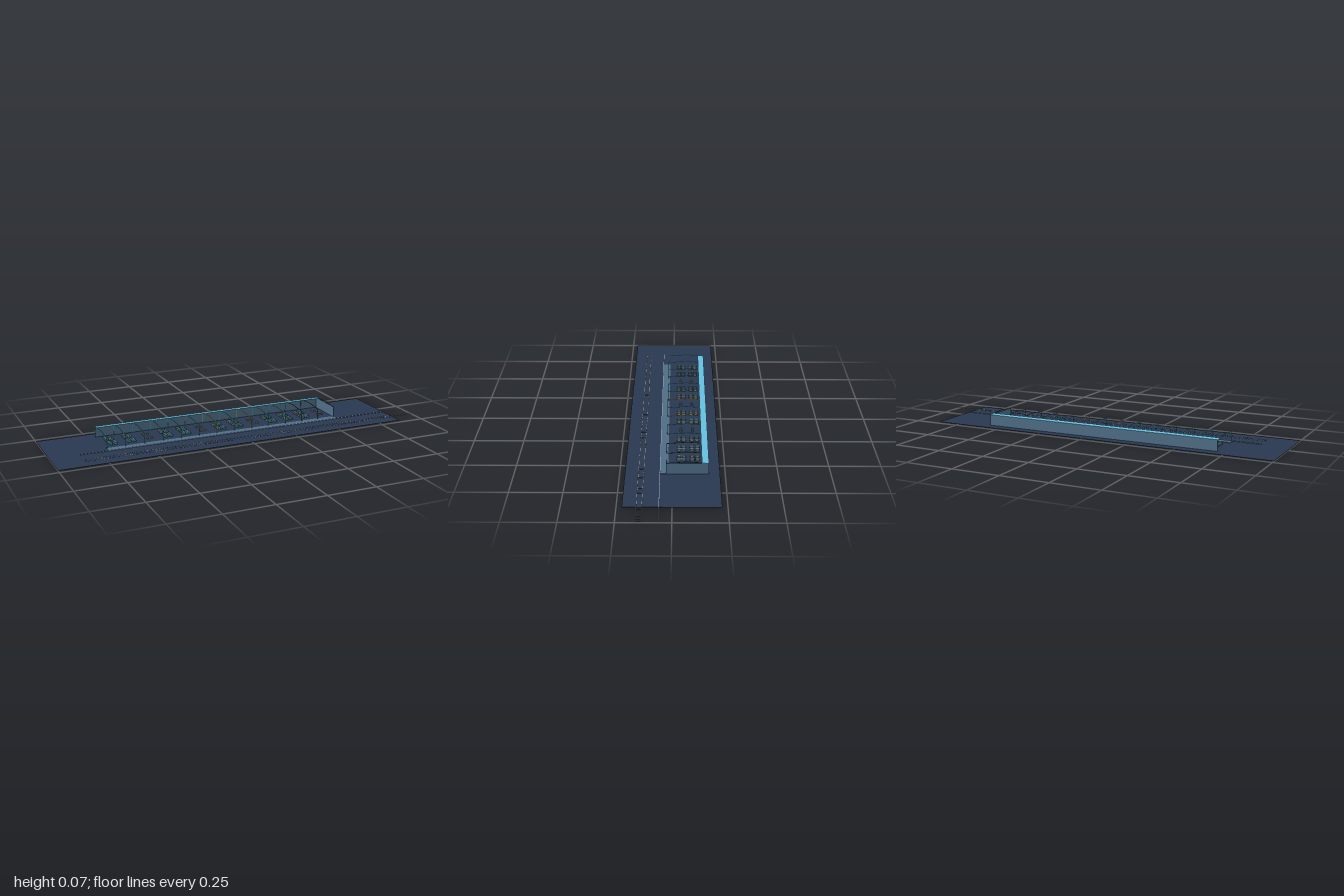
import * as THREE from 'three';

const mat = (name, color, side = THREE.FrontSide) => {
  const m = new THREE.MeshStandardMaterial({ color, side });
  m.name = name;
  return m;
};

export function createModel() {
  const model = new THREE.Group();
  model.name = 'factoryHall';
  const ground = mat('groundNavy', 0x283850);
  const wall = mat('wallSlate', 0x4e6d86);
  const roof = mat('roofBlue', 0x66c2e2, THREE.DoubleSide);
  const dark = mat('darkSteel', 0x24323f);
  const teal = mat('teal', 0x25a5ad);
  const amber = mat('amber', 0xd0912f);
  const steel = mat('railGrey', 0x9aa3b0);

  // Box given by its minimum and maximum corners
  const box = (name, m, x0, x1, y0, y1, z0, z1, parent = model) => {
    const mesh = new THREE.Mesh(new THREE.BoxGeometry(x1 - x0, y1 - y0, z1 - z0), m);
    mesh.position.set((x0 + x1) / 2, (y0 + y1) / 2, (z0 + z1) / 2);
    mesh.name = name;
    parent.add(mesh);
  };
  // Flat bar between two points in a plane of constant x
  const bar = (name, m, x, y0, z0, y1, z1, parent) => {
    const mesh = new THREE.Mesh(new THREE.BoxGeometry(0.004, 0.0015, Math.hypot(y1 - y0, z1 - z0)), m);
    mesh.position.set(x, (y0 + y1) / 2, (z0 + z1) / 2);
    mesh.rotation.x = -Math.atan2(y1 - y0, z1 - z0);
    mesh.name = name;
    parent.add(mesh);
  };

  const X0 = -0.705, X1 = 0.58, BACK = -0.172, FRONT = 0.03, EAVE = 0.058, RIDGE = 0.066, MID = -0.071;
  const BAYS = 13, bay = (X1 - X0) / BAYS;
  const slope = (RIDGE - EAVE) / (MID - BACK);

  // Site slab, back wall in sections, right end wall and loading platform
  box('groundSlab', ground, -1, 0.875, 0, 0.0012, -0.225, 0.225);
  for (const [a, b] of [[0, 5], [5, 6], [6, 12], [12, 13]])
    box('backWall', wall, X0 + a * bay, X0 + b * bay, 0.001, EAVE, BACK, BACK + 0.003);
  box('endWall', wall, X1 - 0.003, X1, 0.001, EAVE, BACK, FRONT);
  box('loadingPlatform', wall, X0, X1, 0.001, 0.0032, 0.02, 0.058);

  // Sloping roof strip over the back wall
  const strip = new THREE.Mesh(new THREE.BoxGeometry(X1 - X0, 0.0015, 0.033), roof);
  strip.position.set((X0 + X1) / 2, EAVE + 0.0165 * slope, BACK + 0.0165);
  strip.rotation.x = -Math.atan(slope);
  strip.name = 'roofStrip';
  model.add(strip);

  // Portal frames between the bays, coloured by work area
  const frameColours = { 6: amber, 8: amber, 11: dark, 12: dark, 13: dark };
  for (let i = 0; i <= BAYS; i++) {
    const frame = new THREE.Group();
    frame.name = 'portalFrame';
    model.add(frame);
    const x = THREE.MathUtils.clamp(X0 + i * bay, X0 + 0.002, X1 - 0.002);
    const m = frameColours[i] || teal;
    box('frontPost', m, x - 0.001, x + 0.001, 0.001, EAVE, FRONT - 0.002, FRONT, frame);
    box('backPost', m, x - 0.001, x + 0.001, 0.001, EAVE, BACK + 0.003, BACK + 0.005, frame);
    // The roof strip covers the back end of the rafter
    bar('backRafter', m, x, EAVE + 0.033 * slope, BACK + 0.033, RIDGE, MID, frame);
    bar('frontRafter', m, x, RIDGE, MID, EAVE, FRONT - 0.001, frame);
  }

  // Machines or small work stations in each bay
  const stationBays = [2, 5, 8, 12];
  for (let i = 0; i < BAYS; i++) {
    const group = new THREE.Group();
    const cx = X0 + (i + 0.5) * bay;
    model.add(group);
    if (stationBays.includes(i)) {
      group.name = 'workStation';
      for (const dx of [-0.012, 0.012]) for (const z of [-0.1, -0.04]) {
        box('stand', wall, cx + dx - 0.005, cx + dx + 0.005, 0.001, 0.009, z - 0.005, z + 0.005, group);
        for (const s of [-1, 1])
          box('signPanel', amber, cx + dx - 0.004, cx + dx + 0.004, 0.003, 0.009,
            z + s * 0.0055 - 0.0005, z + s * 0.0055 + 0.0005, group);
      }
    } else {
      group.name = 'machineGroup';
      for (const dx of [-0.013, 0.013]) for (const z of [-0.121, -0.095, -0.055, -0.031]) {
        const x = cx + dx;
        box('machine', wall, x - 0.009, x + 0.009, 0.001, 0.011, z - 0.01, z + 0.01, group);
        // Coloured panels on the upright faces
        for (const s of [-1, 1]) {
          box('controlPanel', teal, x - 0.008, x + 0.008, 0.004, 0.0105,
            z + s * 0.0105 - 0.0005, z + s * 0.0105 + 0.0005, group);
          box('sidePanel', amber, x + s * 0.0095 - 0.0005, x + s * 0.0095 + 0.0005, 0.006, 0.0105,
            z - 0.005, z + 0.005, group);
        }
      }
    }
  }

  // Crane rail beside the platform
  box('craneRail', steel, -0.85, 1, 0.001, 0.0034, 0.058, 0.0605);

  // Railway track: two rails, sleepers and fastenings
  const track = new THREE.Group();
  track.name = 'railwayTrack';
  model.add(track);
  for (const z of [0.136, 0.161])
    box('rail', steel, -0.85, 1, 0.0008, 0.0016, z - 0.0006, z + 0.0006, track);
  for (let i = 0; i < 93; i++) {
    const x = -0.845 + i * 0.02;
    box('sleeper', ground, x - 0.001, x + 0.001, 0.0006, 0.0014, 0.134, 0.163, track);
    for (const z of [0.136, 0.161])
      box('railFastening', amber, x - 0.0015, x + 0.0015, 0.001, 0.003, z - 0.001, z + 0.001, track);
  }
  return model;
}
